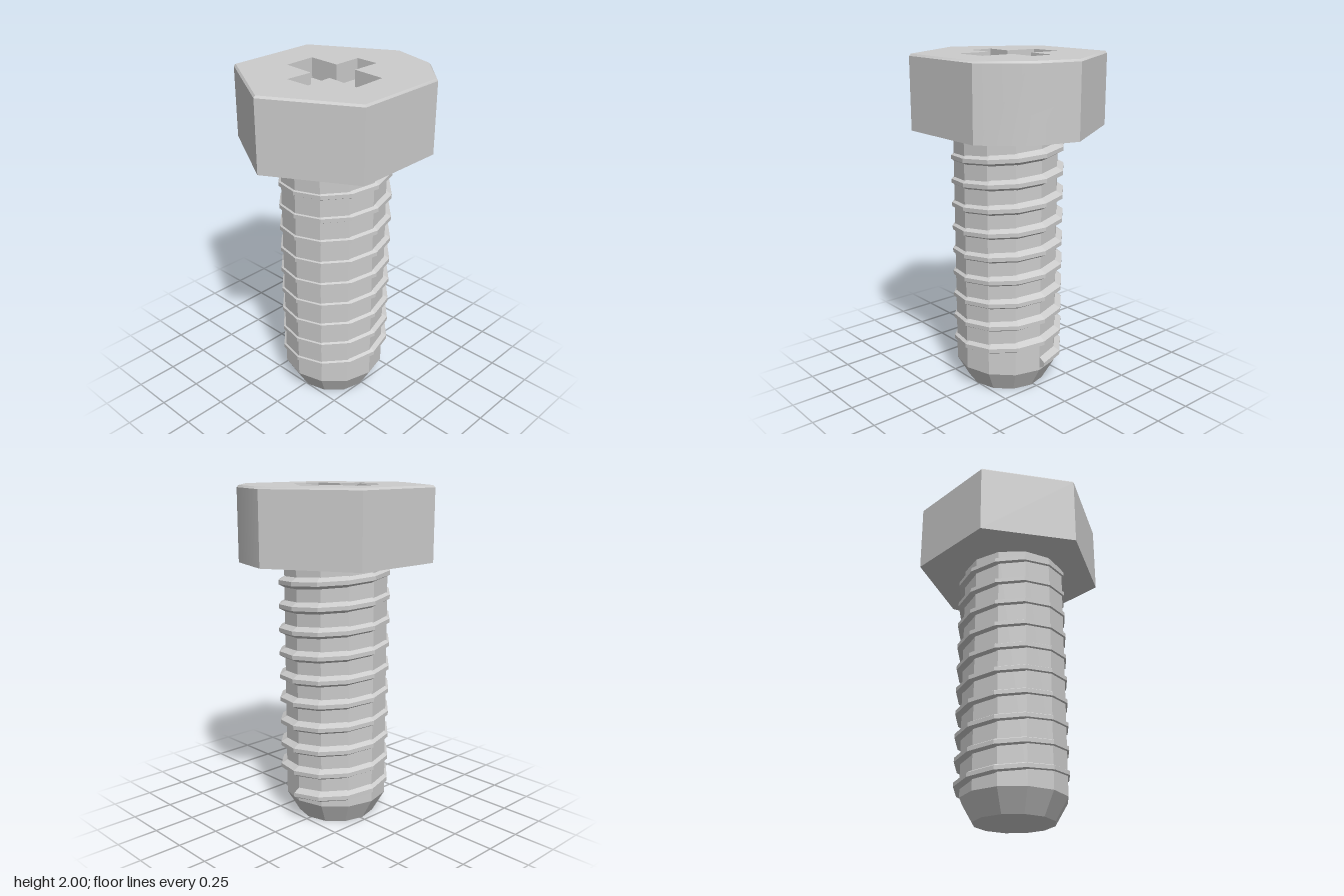
import * as THREE from 'three';
import { mergeGeometries, toCreasedNormals } from 'three/addons/utils/BufferGeometryUtils.js';

const HEAD_BOTTOM = 1.57, HEAD_TOP = 2, RIM = 0.012, RECESS_FLOOR = 1.88;
const PITCH = 0.142, SIDES = 12;

// Skin a series of closed loops, optionally capping the (convex) first and last loop
function loft(rings, capped = false) {
  const pos = [];
  const tri = (...pts) => pts.forEach((p) => pos.push(p.x, p.y, p.z));
  const n = rings[0].length;
  for (let r = 0; r < rings.length - 1; r++) {
    for (let i = 0; i < n; i++) {
      const j = (i + 1) % n, a = rings[r], b = rings[r + 1];
      tri(a[i], a[j], b[j]);
      tri(a[i], b[j], b[i]);
    }
  }
  if (capped) {
    const first = rings[0], last = rings[rings.length - 1];
    for (let i = 1; i < n - 1; i++) {
      tri(first[0], first[i + 1], first[i]);
      tri(last[0], last[i], last[i + 1]);
    }
  }
  const geo = new THREE.BufferGeometry();
  geo.setAttribute('position', new THREE.Float32BufferAttribute(pos, 3));
  geo.computeVertexNormals();
  return geo;
}

// Plan outlines are [x, -z] pairs, counter-clockwise from above
const ring = (outline, y, s = 1) => outline.map(([x, v]) => new THREE.Vector3(x * s, y, -v * s));

// Flat horizontal face, facing up or down, with an optional hole
function face(outline, y, { s = 1, down = false, hole = null } = {}) {
  const pts = (o, k) => o.map(([x, v]) => new THREE.Vector2(x * k, (down ? -v : v) * k));
  const shape = new THREE.Shape(pts(outline, s));
  if (hole) shape.holes.push(new THREE.Path(pts(hole, 1)));
  const geo = new THREE.ShapeGeometry(shape).toNonIndexed();
  geo.deleteAttribute('uv');
  return geo.rotateX(down ? Math.PI / 2 : -Math.PI / 2).translate(0, y, 0);
}

// Hexagonal head with one extra corner at the front left, and a cross recess
function headGeometry() {
  const hex = [0, 60, 120, 180, 240, 300, 330].map((deg) => {
    const a = THREE.MathUtils.degToRad(deg);
    return [0.57 * Math.cos(a), 0.57 * Math.sin(a)];
  });
  // Slightly irregular cross
  const cross = [
    [0.275, -0.073], [0.275, 0.07], [0.1, 0.07], [0.105, 0.268],
    [-0.092, 0.265], [-0.103, 0.067], [-0.27, 0.076], [-0.267, -0.079],
    [-0.1, -0.07], [-0.116, -0.28], [0.09, -0.273], [0.1, -0.07],
  ];
  const geo = mergeGeometries([
    loft([ring(hex, HEAD_BOTTOM), ring(hex, HEAD_TOP - RIM), ring(hex, HEAD_TOP, 0.98)]),
    face(hex, HEAD_TOP, { s: 0.98, hole: cross }),
    face(hex, HEAD_BOTTOM, { down: true }),
    loft([ring(cross, HEAD_TOP), ring(cross, RECESS_FLOOR)]),
    face(cross, RECESS_FLOOR),
  ]);
  return toCreasedNormals(geo, 0.6);
}

// Twelve-sided shaft with a tapered tip
function shaftGeometry() {
  const profile = [[0, 0], [0.235, 0], [0.31, 0.13], [0.31, HEAD_BOTTOM + 0.03]];
  return new THREE.LatheGeometry(profile.map(([r, y]) => new THREE.Vector2(r, y)), SIDES);
}

// Helical ridge of trapezoid section, climbing from the left side
function threadGeometry() {
  const section = [[0.28, -0.042], [0.28, 0.042], [0.335, 0.012], [0.335, -0.012]];
  const rings = [];
  for (let i = 0; i <= 10 * SIDES; i++) {
    const a = (i / SIDES) * Math.PI * 2, y = 0.18 + (i / SIDES) * PITCH;
    rings.push(section.map(([r, h]) => new THREE.Vector3(r * Math.cos(a), y + h, -r * Math.sin(a))));
  }
  return loft(rings, true);
}

export function createModel() {
  const group = new THREE.Group();
  group.name = 'bolt';
  const smooth = new THREE.MeshStandardMaterial({ color: 0xcccccc });
  const flat = new THREE.MeshStandardMaterial({ color: 0xcccccc, flatShading: true });
  const add = (name, geo, material, x = 0, z = 0) => {
    const mesh = new THREE.Mesh(geo, material);
    mesh.name = name;
    mesh.position.set(x, 0, z);
    group.add(mesh);
  };
  add('head', headGeometry(), smooth);
  add('shaft', shaftGeometry(), flat, -0.015, 0.018);
  add('thread', threadGeometry(), flat, 0, 0.016);
  return group;
}
